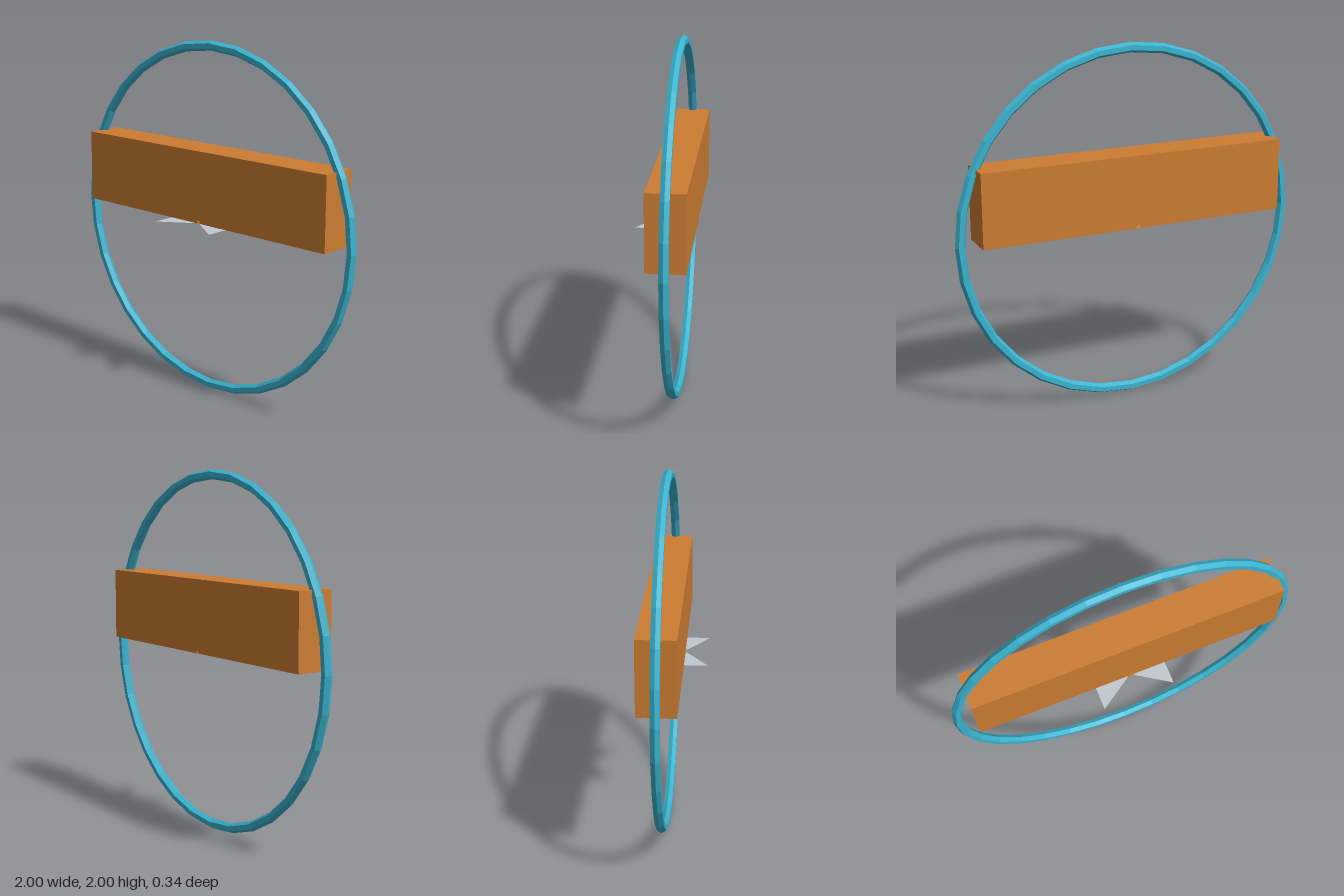
import * as THREE from 'three';

const Z = -0.065; // shared centre plane of ring, beam and hub
const BASE = 1.005; // underside of the beam

function material(name, color, side = THREE.FrontSide) {
  const m = new THREE.MeshStandardMaterial({ color, side, flatShading: true });
  m.name = name;
  return m;
}

export function createModel() {
  const group = new THREE.Group();
  const blue = material('ringBlue', 0x3ab4d0);
  const orange = material('beamOrange', 0xcc7c32);
  const grey = material('finGrey', 0xc0c8cf, THREE.DoubleSide);

  const add = (name, geometry, mat, x, y, z) => {
    const mesh = new THREE.Mesh(geometry, mat);
    mesh.name = name;
    mesh.position.set(x, y, z);
    group.add(mesh);
    return mesh;
  };

  // Upright hexagonal-section ring
  add('ring', new THREE.TorusGeometry(0.9725, 0.0275, 6, 32), blue, 0, 1.002, Z);

  // Beam across the ring
  add('beam', new THREE.BoxGeometry(1.76, 0.406, 0.205), orange, 0, BASE + 0.203, Z);

  // Cone hub, its rim just breaking through the beam faces
  add('hubCone', new THREE.ConeGeometry(0.111, 0.3, 8, 1, true), orange, 0, BASE + 0.15, Z);

  // Pair of flat triangular fins level with the underside
  for (const side of [-1, 1]) {
    const fin = new THREE.Shape([
      new THREE.Vector2(0, 0),
      new THREE.Vector2(side * 0.205, 0),
      new THREE.Vector2(side * 0.205, -0.137),
    ]);
    const geometry = new THREE.ShapeGeometry(fin).rotateX(-Math.PI / 2);
    add(side > 0 ? 'leftFin' : 'rightFin', geometry, grey, 0, BASE, 0.031);
  }

  return group;
}
